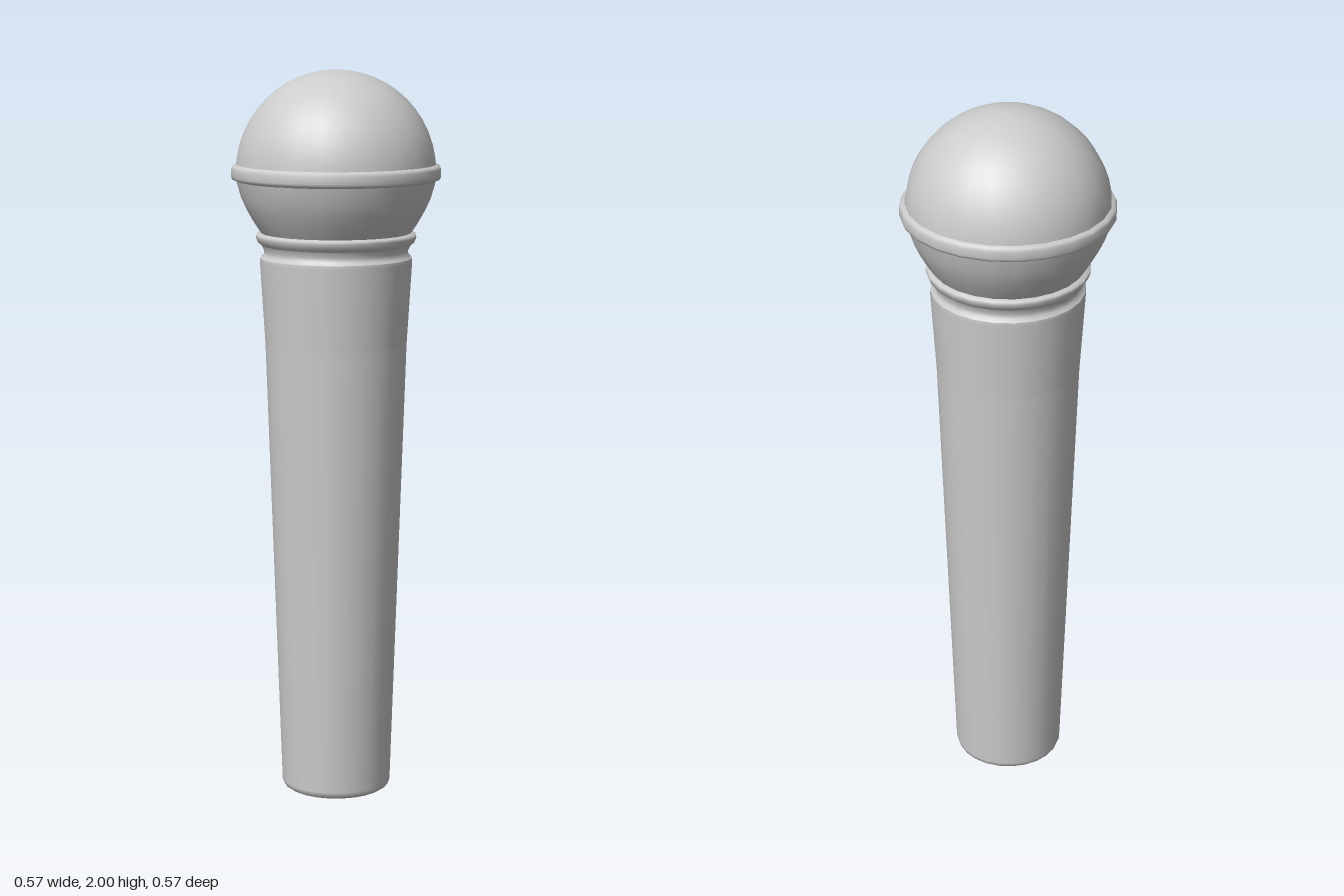
import * as THREE from 'three';

const SIDES = 24;

export function createModel() {
  const model = new THREE.Group();
  const material = new THREE.MeshStandardMaterial({ color: 0xcccccc, side: THREE.DoubleSide });

  // Turn a profile of [radius, height] pairs, listed bottom to top
  const turn = (name, profile) => {
    const points = profile.map(([r, y]) => new THREE.Vector2(r, y));
    const mesh = new THREE.Mesh(new THREE.LatheGeometry(points, SIDES), material);
    mesh.name = name;
    model.add(mesh);
  };

  // Tapered handle with a softly bevelled end
  turn('handle', [[0, 0], [0.138, 0], [0.147, 0.006], [0.152, 0.02], [0.194, 1.26]]);

  // Collar sleeve above the handle, closed by a small shoulder
  turn('collar', [[0.194, 1.26], [0.208, 1.485], [0.207, 1.495]]);
  turn('collarShoulder', [[0.207, 1.495], [0.198, 1.503], [0.196, 1.515], [0.203, 1.53]]);

  // Thin ring around the neck
  turn('neckRing', [[0.203, 1.53], [0.213, 1.538], [0.219, 1.552], [0.217, 1.56], [0.204, 1.563]]);

  // Lower half of the head
  turn('lowerGrille', [[0.204, 1.563], [0.222, 1.59], [0.242, 1.625], [0.258, 1.66], [0.268, 1.695], [0.272, 1.71]]);

  // Band around the widest part of the head
  turn('headBand', [[0.27, 1.704], [0.281, 1.708], [0.285, 1.716], [0.285, 1.736], [0.281, 1.744], [0.27, 1.748]]);

  // Domed upper half of the head
  const dome = [];
  for (let i = 0; i <= 12; i++) {
    const a = (i / 12) * Math.PI / 2;
    dome.push([i === 12 ? 0 : 0.272 * Math.cos(a), 1.728 + 0.272 * Math.sin(a)]);
  }
  turn('upperGrille', dome);

  return model;
}
